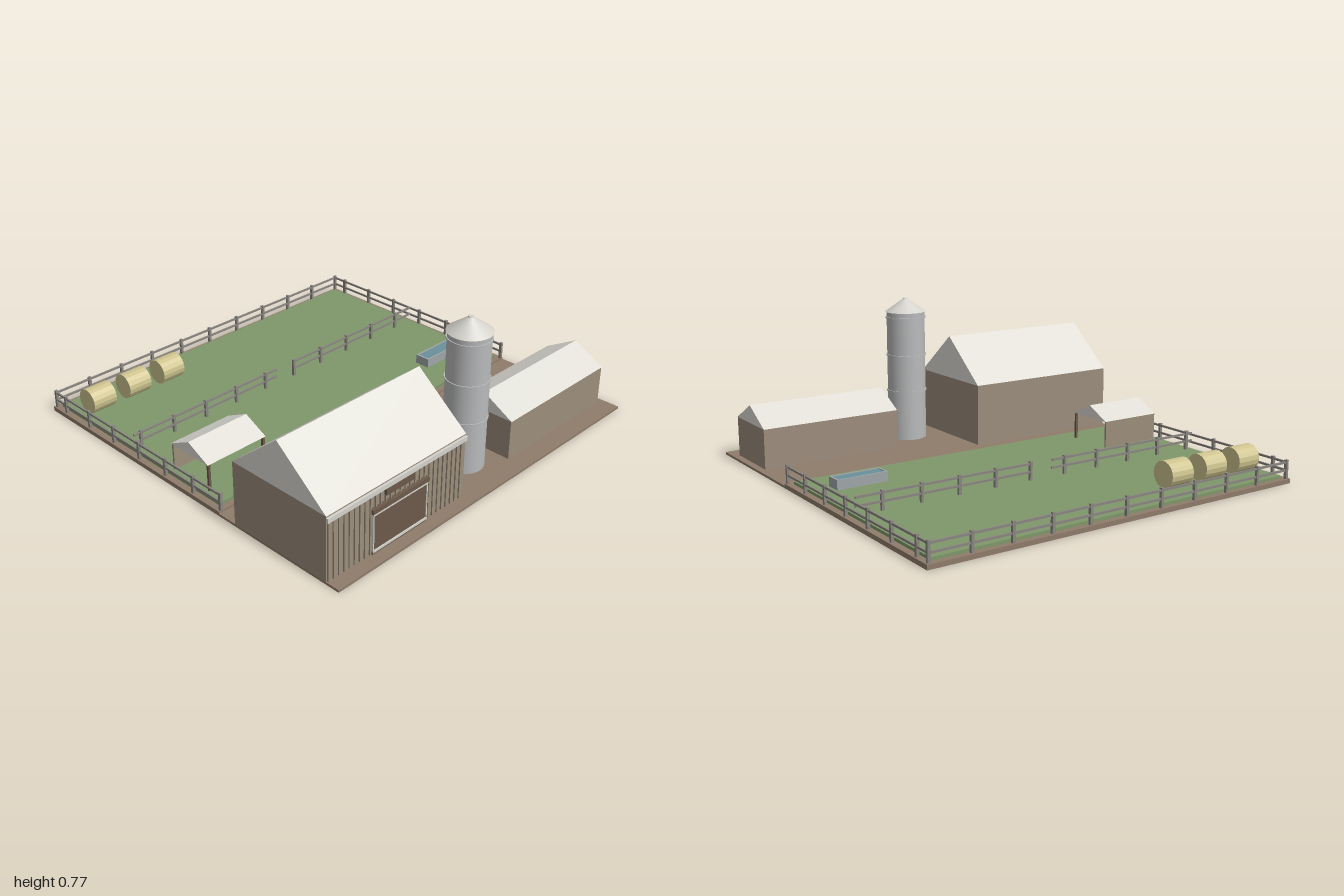
import * as THREE from 'three';

const mat = (color, flatShading = false) => new THREE.MeshStandardMaterial({ color, flatShading });
const M = {
  soil: mat(0x8f7c6b), grass: mat(0x7f986a), wall: mat(0x9c8d7c), wood: mat(0x6b5a4a),
  roof: mat(0xdedcd4), trim: mat(0xd4d2cb), fence: mat(0x8a8580), steel: mat(0xb9babb),
  hay: mat(0xcfc48f, true), trough: mat(0x9fa6a8), water: mat(0x6a919c),
};

// Mesh helper: adds a named mesh to a parent
function add(parent, name, geo, material, x = 0, y = 0, z = 0) {
  const m = new THREE.Mesh(geo, material);
  m.name = name;
  m.position.set(x, y, z);
  parent.add(m);
  return m;
}

// Box given by its lower and upper limits on each axis
function box(parent, name, material, x0, x1, y0, y1, z0, z1) {
  return add(parent, name, new THREE.BoxGeometry(x1 - x0, y1 - y0, z1 - z0), material,
    (x0 + x1) / 2, (y0 + y1) / 2, (z0 + z1) / 2);
}

// Solid gable roof with its ridge along x
function gableRoof(parent, x0, x1, z0, z1, eave, ridge) {
  const s = new THREE.Shape();
  s.moveTo(-z1, eave);
  s.lineTo(-z0, eave);
  s.lineTo(-(z0 + z1) / 2, ridge);
  s.closePath();
  const g = new THREE.ExtrudeGeometry(s, { depth: x1 - x0, bevelEnabled: false });
  g.rotateY(Math.PI / 2);
  add(parent, 'roof', g, M.roof, x0, 0, 0);
}

function group(parent, name) {
  const g = new THREE.Group();
  g.name = name;
  parent.add(g);
  return g;
}

// Straight two-rail fence along local x, with posts at the given offsets
function fence(parent, name, length, base, posts) {
  const f = group(parent, name);
  for (const y of [0.041, 0.08])
    box(f, 'rail', M.fence, 0, length, base + y - 0.005, base + y + 0.005, -0.004, 0.004);
  for (const x of posts)
    box(f, 'post', M.fence, x - 0.007, x + 0.007, base, base + 0.092, -0.007, 0.007);
  return f;
}

const steps = (start, step, count) => Array.from({ length: count }, (_, i) => start + i * step);

function buildBarn(root) {
  const barn = group(root, 'barn');
  box(barn, 'walls', M.wall, -1, -0.15, 0.01, 0.33, 0.38, 0.93);
  gableRoof(barn, -1, -0.15, 0.38, 0.932, 0.33, 0.555);
  // Vertical battens on the front wall
  for (const x of steps(-0.99, 0.03, 28))
    box(barn, 'batten', M.wall, x - 0.004, x + 0.004, 0.01, 0.3, 0.928, 0.937);
  box(barn, 'eaveBoard', M.trim, -1, -0.15, 0.3, 0.322, 0.928, 0.942);
  // Sliding door with rails and header
  box(barn, 'door', M.wood, -0.745, -0.41, 0.01, 0.21, 0.93, 0.942);
  box(barn, 'doorHeader', M.wood, -0.75, -0.405, 0.217, 0.238, 0.93, 0.95);
  for (const y of [0.028, 0.21])
    box(barn, 'doorRail', M.trim, -0.745, -0.41, y - 0.005, y + 0.006, 0.935, 0.947);
  for (const x of [-0.742, -0.413])
    box(barn, 'doorStile', M.trim, x - 0.003, x + 0.003, 0.028, 0.21, 0.935, 0.946);
  box(barn, 'loftHatch', M.wood, -0.665, -0.495, 0.268, 0.3, 0.93, 0.944);
}

function buildSilo(root) {
  const silo = group(root, 'silo');
  silo.position.set(0.055, 0, 0.765);
  add(silo, 'tank', new THREE.CylinderGeometry(0.101, 0.101, 0.685, 32), M.steel, 0, 0.3525, 0);
  for (const y of [0.272, 0.465, 0.665])
    add(silo, 'band', new THREE.CylinderGeometry(0.106, 0.106, 0.008, 32), M.steel, 0, y, 0);
  add(silo, 'coneRoof', new THREE.CylinderGeometry(0.014, 0.107, 0.066, 32), M.trim, 0, 0.728, 0);
  add(silo, 'cap', new THREE.CylinderGeometry(0.012, 0.014, 0.006, 16), M.trim, 0, 0.763, 0);
}

function buildShed(root) {
  const shed = group(root, 'shed');
  box(shed, 'walls', M.wall, 0.225, 0.965, 0.01, 0.213, 0.578, 0.9);
  gableRoof(shed, 0.225, 0.965, 0.575, 0.903, 0.213, 0.305);
}

function buildShelter(root) {
  // Open-sided shelter: rear wall and front posts
  const shelter = group(root, 'fieldShelter');
  box(shelter, 'rearWall', M.wall, -0.94, -0.61, 0.035, 0.173, -0.113, -0.103);
  for (const x of [-0.935, -0.615])
    box(shelter, 'frontPost', M.wood, x - 0.006, x + 0.006, 0.035, 0.173, 0.131, 0.143);
  gableRoof(shelter, -0.945, -0.605, -0.115, 0.145, 0.173, 0.237);
}

function buildTrough(root) {
  const trough = group(root, 'waterTrough');
  box(trough, 'base', M.trough, 0.605, 0.867, 0.035, 0.07, 0, 0.082);
  for (const z of [0, 0.074]) box(trough, 'longSide', M.trough, 0.605, 0.867, 0.07, 0.084, z, z + 0.008);
  for (const x of [0.605, 0.857]) box(trough, 'endSide', M.trough, x, x + 0.01, 0.07, 0.084, 0.008, 0.074);
  box(trough, 'water', M.water, 0.615, 0.857, 0.07, 0.08, 0.008, 0.074);
}

export function createModel() {
  const root = new THREE.Group();
  root.name = 'farmyard';

  // Ground layers
  box(root, 'yard', M.soil, -1, 1, 0, 0.012, -1, 1);
  box(root, 'pastureBorder', M.soil, -1, 1, 0.012, 0.022, -1, 0.275);
  box(root, 'pasture', M.grass, -0.967, 0.967, 0.022, 0.036, -0.97, 0.243);

  buildBarn(root);
  buildSilo(root);
  buildShed(root);
  buildShelter(root);
  buildTrough(root);

  // Round hay bales lying along x
  for (const x of [-0.86, -0.647, -0.435]) {
    const g = new THREE.CylinderGeometry(0.064, 0.064, 0.13, 18).rotateZ(Math.PI / 2);
    add(root, 'hayBale', g, M.hay, x, 0.1, -0.805);
  }

  // Perimeter fence on the sides and back
  for (const side of [-1, 1]) {
    const f = fence(root, side < 0 ? 'rightFence' : 'leftFence', 1.26, 0.022, [0.005, ...steps(0.192, 0.197, 6)]);
    f.rotation.y = Math.PI / 2;
    f.position.set(side * 0.985, 0, 0.275);
  }
  fence(root, 'backFence', 1.97, 0.022, [0, ...steps(0.197, 0.197, 9), 1.97]).position.set(-0.985, 0, -0.985);

  // Cross fence with a gap in the middle
  fence(root, 'crossFenceRight', 0.9, 0.036, steps(0.04, 0.196, 5)).position.set(-0.97, 0, -0.365);
  fence(root, 'crossFenceLeft', 0.915, 0.036, steps(0, 0.196, 5)).position.set(0.053, 0, -0.365);

  return root;
}
